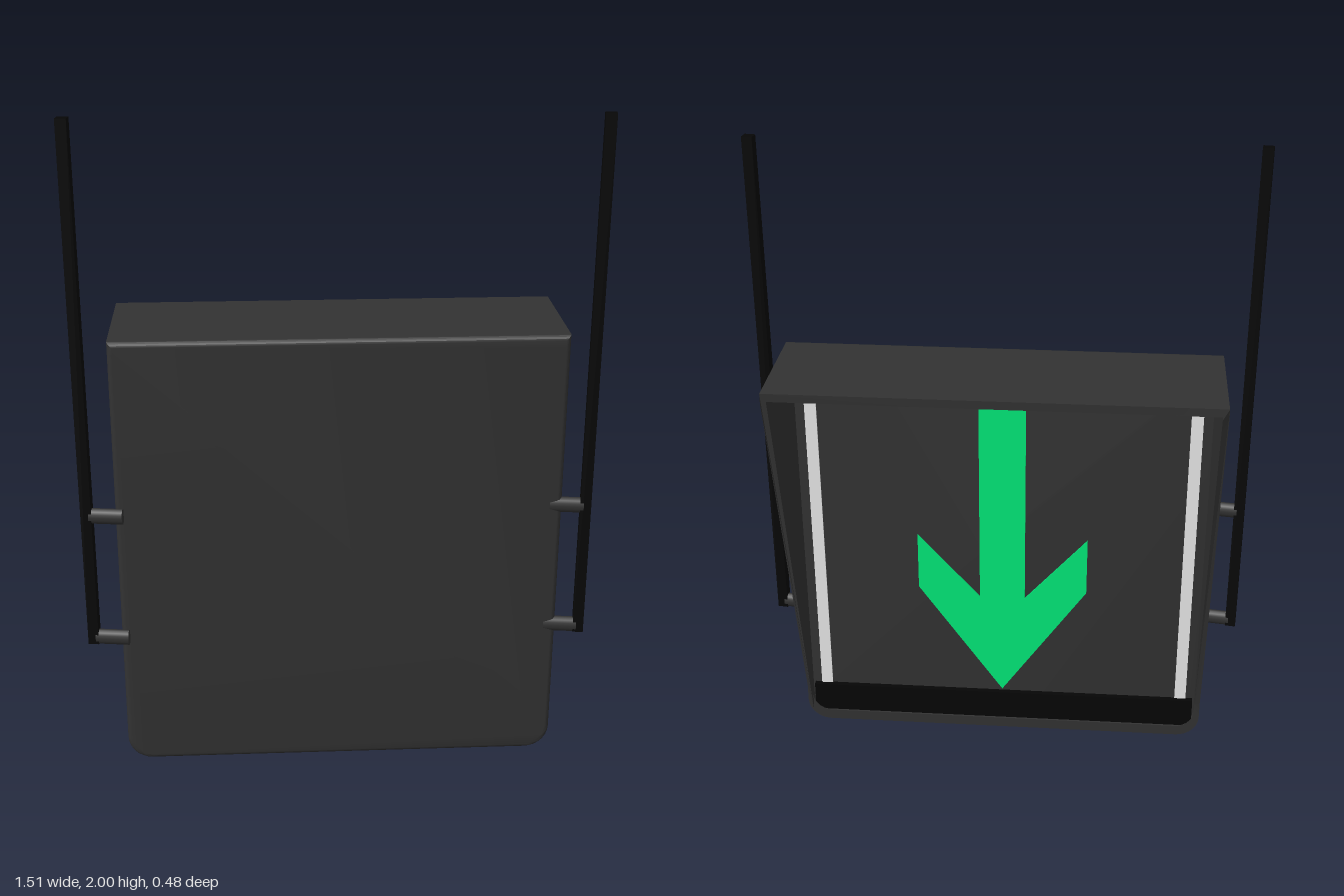
import * as THREE from 'three';
import { toCreasedNormals } from 'three/addons/utils/BufferGeometryUtils.js';

const HALF = 0.66, TOP = 1.37;
const mat = (name, color, side = THREE.FrontSide) => {
  const m = new THREE.MeshStandardMaterial({ color, side });
  m.name = name;
  return m;
};

// Outline with sharp top corners and rounded bottom corners
function outline(half, bottom, top, r) {
  const pts = [[half, top], [half, 1.335], [half, 0.13]].map(p => new THREE.Vector2(...p));
  for (const [cx, start] of [[half - r, 0], [r - half, -Math.PI / 2]]) {
    for (let i = 0; i <= 7; i++) {
      const a = start - (i / 7) * Math.PI / 2;
      pts.push(new THREE.Vector2(cx + r * Math.cos(a), bottom + r + r * Math.sin(a)));
    }
  }
  for (const y of [0.13, 1.335, top]) pts.push(new THREE.Vector2(-half, y));
  return pts;
}

export function createModel() {
  const model = new THREE.Group();
  model.name = 'laneSignal';
  const grey = mat('housingGrey', 0x323232, THREE.DoubleSide);
  const black = mat('black', 0x060606);
  const white = mat('borderWhite', 0xffffff, THREE.DoubleSide);
  const green = mat('signalGreen', 0x00e878, THREE.DoubleSide);

  const add = (parent, name, geo, material, x = 0, y = 0, z = 0) => {
    const mesh = new THREE.Mesh(geo, material);
    mesh.name = name;
    mesh.position.set(x, y, z);
    parent.add(mesh);
    return mesh;
  };

  // Housing turned slightly; its local z = 0 is the closed front face
  const housing = new THREE.Group();
  housing.name = 'housing';
  housing.position.set(0.004, 0, 0.181);
  housing.rotation.y = -0.055;
  model.add(housing);

  // Front cover with softened edges
  const cover = new THREE.ExtrudeGeometry(new THREE.Shape(outline(HALF, 0, TOP, 0.075)), {
    depth: 0.005, bevelThickness: 0.015, bevelSize: 0.015, bevelOffset: -0.015, bevelSegments: 4,
  });
  add(housing, 'frontCover', toCreasedNormals(cover, 0.6), grey, 0, 0, -0.02);

  // Hood: a thin-walled ring whose depth grows towards the top
  const ring = new THREE.Shape(outline(HALF, 0, TOP, 0.075));
  ring.holes.push(new THREE.Path(outline(HALF - 0.018, 0.035, TOP - 0.025, 0.06).reverse()));
  const hood = new THREE.ExtrudeGeometry(ring, { depth: 1, bevelEnabled: false });
  const p = hood.attributes.position;
  for (let i = 0; i < p.count; i++) {
    const t = THREE.MathUtils.clamp((p.getY(i) - 0.13) / 1.205, 0, 1);
    const back = -0.054 - 0.334 * t;
    p.setZ(i, THREE.MathUtils.lerp(back, -0.016, p.getZ(i)));
  }
  add(housing, 'hood', toCreasedNormals(hood, 0.5), grey);

  // Black ledge under the display
  add(housing, 'bottomLedge', new THREE.BoxGeometry(1.27, 0.1, 0.02), black, 0, 0.088, -0.042);

  // White border lines on the display
  for (const s of [-1, 1]) {
    add(housing, 'sideBorder', new THREE.BoxGeometry(0.037, 1.1625, 0.004), white, s * 0.594, 0.711, -0.037);
  }
  add(housing, 'topBorder', new THREE.BoxGeometry(1.151, 0.037, 0.004), white, 0, 1.274, -0.037);

  // Downward arrow
  const half = [[0.073, 1.235], [0.073, 0.505], [0.272, 0.73], [0.272, 0.535]];
  const arrow = new THREE.Shape([
    ...half.map(([x, y]) => new THREE.Vector2(x, y)),
    new THREE.Vector2(0, 0.145),
    ...half.slice().reverse().map(([x, y]) => new THREE.Vector2(-x, y)),
  ]);
  add(housing, 'arrow', new THREE.ExtrudeGeometry(arrow, { depth: 0.004, bevelEnabled: false }), green, 0, 0, -0.039);

  // Hanging poles and the arms that join them to the housing
  for (const [side, poleX, poleZ, armX, armZ] of [
    ['right', -0.738, 0.137, -0.682, 0.148],
    ['left', 0.733, 0.22, 0.678, 0.21],
  ]) {
    add(model, side + 'Pole', new THREE.BoxGeometry(0.032, 1.58, 0.03), black, poleX, 1.21, poleZ).rotation.y = -0.19;
    for (const y of [0.44, 0.84]) {
      const geo = new THREE.CylinderGeometry(0.024, 0.024, 0.1, 16).rotateZ(Math.PI / 2).scale(1, 1, 0.7);
      add(model, side + 'Arm', geo, grey, armX, y, armZ).rotation.y = -0.19;
    }
  }
  return model;
}
